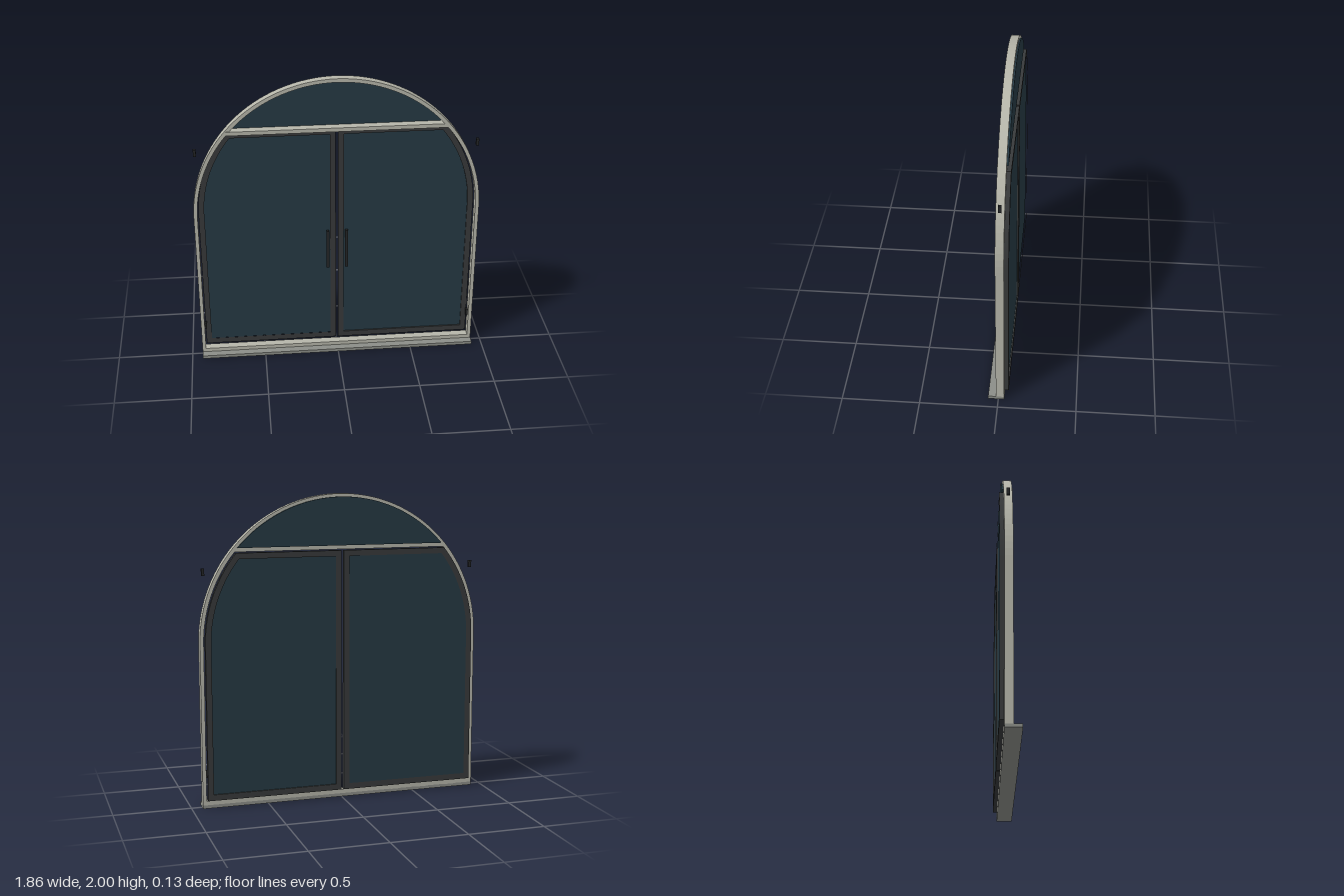
import * as THREE from 'three';

const SPRING = 1.07; // height where the arch begins

const material = (color) => new THREE.MeshStandardMaterial({ color });

// Extrude an outline between two depths
function slab(name, shape, z0, z1, mat) {
  const geo = new THREE.ExtrudeGeometry(shape, { depth: z1 - z0, bevelEnabled: false, curveSegments: 32 });
  geo.translate(0, 0, z0);
  const mesh = new THREE.Mesh(geo, mat);
  mesh.name = name;
  return mesh;
}

function box(name, x, y, z, w, h, d, mat) {
  const mesh = new THREE.Mesh(new THREE.BoxGeometry(w, h, d), mat);
  mesh.position.set(x, y, z);
  mesh.name = name;
  return mesh;
}

// Full arched outline
function arch(target, r, bottom) {
  target.moveTo(-r, bottom);
  target.lineTo(r, bottom);
  target.lineTo(r, SPRING);
  target.absarc(0, SPRING, r, 0, Math.PI, false);
  target.closePath();
  return target;
}

// Half-arch outline cut off flat at the top, on the side given by s
function leaf(target, s, inner, r, bottom, top) {
  const end = Math.asin((top - SPRING) / r);
  target.moveTo(s * inner, bottom);
  target.lineTo(s * r, bottom);
  target.lineTo(s * r, SPRING);
  if (s > 0) target.absarc(0, SPRING, r, 0, end, false);
  else target.absarc(0, SPRING, r, Math.PI, Math.PI - end, true);
  target.lineTo(s * inner, top);
  target.closePath();
  return target;
}

export function createModel() {
  const model = new THREE.Group();
  model.name = 'archedDoubleDoor';
  const stone = material(0xb6b6aa);
  const sillMat = material(0x8c8e88);
  const dark = material(0x383a3b);
  const black = material(0x242627);
  const glass = material(0x263a44);

  // Arched surround, with its bottom rail
  const surround = arch(new THREE.Shape(), 0.93, 0.02);
  surround.holes.push(arch(new THREE.Path(), 0.906, 0.048));
  model.add(slab('archFrame', surround, -0.038, 0.015, stone));

  // Projecting sill and crossbar
  model.add(box('sill', 0, 0.011, 0.0135, 1.86, 0.022, 0.103, sillMat));
  model.add(box('transomBar', 0, 1.658, -0.01, 1.4, 0.026, 0.056, stone));

  // Fanlight: the circular segment above the crossbar
  const r = 0.91, a = Math.asin((1.67 - SPRING) / r);
  const fan = new THREE.Shape();
  fan.absarc(0, SPRING, r, a, Math.PI - a, false);
  fan.closePath();
  model.add(slab('fanlightGlass', fan, -0.049, -0.037, glass));

  // Two mirrored leaves with glass, handle and hinges
  for (const s of [-1, 1]) {
    const door = new THREE.Group();
    door.name = s > 0 ? 'leftDoor' : 'rightDoor';
    const rim = leaf(new THREE.Shape(), s, 0.008, 0.9, 0.056, 1.64);
    rim.holes.push(leaf(new THREE.Path(), s, 0.045, 0.863, 0.095, 1.603));
    door.add(slab('doorFrame', rim, -0.065, -0.037, dark));
    const pane = leaf(new THREE.Shape(), s, 0.04, 0.868, 0.09, 1.608);
    door.add(slab('doorGlass', pane, -0.056, -0.046, glass));
    door.add(box('handle', s * 0.062, 0.772, -0.026, 0.018, 0.278, 0.02, black));
    for (const y of [0.223, 1.523]) {
      door.add(box('hinge', s * 0.9, y, -0.014, 0.018, 0.046, 0.02, black));
    }
    model.add(door);
  }
  return model;
}
